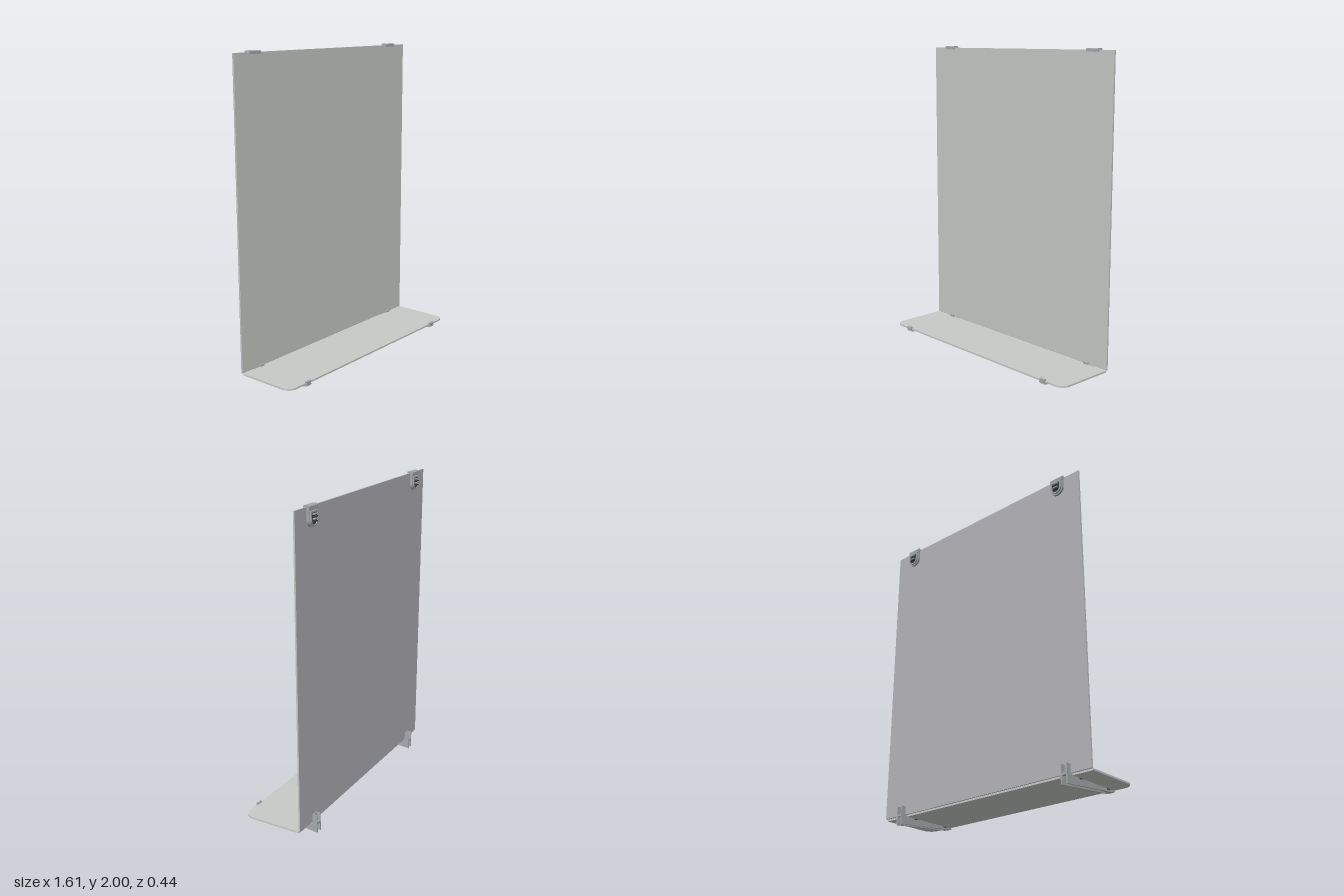
import * as THREE from 'three';

const material = (name, color) => {
  const m = new THREE.MeshStandardMaterial({ color });
  m.name = name;
  return m;
};

export function createModel() {
  const glass = material('pale glass', 0xc6c9c6);
  const backing = material('mirror backing', 0xb4b4ba);
  const metal = material('satin metal', 0xa6a9ab);
  const dark = material('dark rubber', 0x3c3e40);

  const model = new THREE.Group();
  model.name = 'mirrorWithShelf';

  const add = (parent, name, geometry, mat, x = 0, y = 0, z = 0) => {
    const mesh = new THREE.Mesh(geometry, mat);
    mesh.name = name;
    mesh.position.set(x, y, z);
    parent.add(mesh);
    return mesh;
  };
  // Box given by its centre x, width and its y and z ranges
  const box = (parent, name, mat, x, w, y0, y1, z0, z1) =>
    add(parent, name, new THREE.BoxGeometry(w, y1 - y0, z1 - z0), mat, x, (y0 + y1) / 2, (z0 + z1) / 2);
  const extrude = (shape, depth) =>
    new THREE.ExtrudeGeometry(shape, { depth, bevelEnabled: false, curveSegments: 16 });
  // Side profile in (z, y), extruded to a width centred on x = 0
  const sideProfile = (points, width) => {
    const shape = new THREE.Shape(points.map(([z, y]) => new THREE.Vector2(z, y)));
    return extrude(shape, width).translate(0, 0, -width / 2).rotateY(-Math.PI / 2);
  };
  // Upright tongue with a straight top and a semicircular bottom
  const tongue = (w, top, bottom) => {
    const r = w / 2, s = new THREE.Shape();
    s.moveTo(-r, top);
    s.lineTo(-r, bottom + r);
    s.absarc(0, bottom + r, r, Math.PI, Math.PI * 2, false);
    s.lineTo(r, top);
    s.closePath();
    return s;
  };

  // Mirror pane with a separate rear layer
  box(model, 'mirrorPane', glass, 0, 1.61, 0.066, 1.99, -0.184, -0.177);
  box(model, 'mirrorBacking', backing, 0, 1.61, 0.066, 1.99, -0.188, -0.184);

  // Shelf with rounded front corners
  const w = 0.804, r = 0.06, front = 0.213, back = -0.172;
  const plan = new THREE.Shape();
  plan.moveTo(-w, back);
  plan.lineTo(w, back);
  plan.lineTo(w, front - r);
  plan.absarc(w - r, front - r, r, 0, Math.PI / 2, false);
  plan.lineTo(-w + r, front);
  plan.absarc(-w + r, front - r, r, Math.PI / 2, Math.PI, false);
  plan.closePath();
  add(model, 'shelf', extrude(plan, 0.011).rotateX(Math.PI / 2), glass, 0, 0.067, 0);

  for (const side of [-1, 1]) {
    // Shelf bracket: tapered channel open underneath
    const bracket = new THREE.Group();
    bracket.name = side > 0 ? 'leftBracket' : 'rightBracket';
    bracket.position.x = side * 0.645;
    model.add(bracket);
    const flank = [[0.222, 0.056], [0.222, 0.05], [0.205, 0.044], [-0.222, 0.0], [-0.222, 0.054], [-0.19, 0.056]];
    for (const s of [-1, 1]) add(bracket, 'bracketFlank', sideProfile(flank, 0.008), metal, s * 0.0185);
    box(bracket, 'bracketWeb', metal, 0, 0.037, 0.048, 0.0555, -0.2, 0.213);
    // Lips that hold the shelf at the front and rear
    const lip = [[0.208, 0.048], [0.222, 0.048], [0.222, 0.075], [0.217, 0.079], [0.207, 0.076], [0.207, 0.068], [0.214, 0.067]];
    add(bracket, 'frontLip', sideProfile(lip, 0.038), metal);
    box(bracket, 'rearLip', metal, 0, 0.034, 0.055, 0.079, -0.176, -0.164);
    for (const z of [0.16, -0.1]) box(bracket, 'shelfPad', dark, 0, 0.047, 0.05, 0.0565, z - 0.013, z + 0.013);
    // Wall tab with a screw hole
    const tab = new THREE.Shape();
    tab.moveTo(-0.021, 0.066);
    tab.lineTo(0.021, 0.066);
    tab.lineTo(0.021, 0.117);
    tab.lineTo(-0.021, 0.117);
    tab.closePath();
    const hole = new THREE.Path();
    hole.absarc(0, 0.094, 0.007, 0, Math.PI * 2, true);
    tab.holes.push(hole);
    add(bracket, 'wallTab', extrude(tab, 0.006), metal, 0, 0, -0.196);
    for (const s of [-1, 1]) box(bracket, 'tabCheek', metal, s * 0.018, 0.006, 0.066, 0.117, -0.222, -0.195);
    box(bracket, 'tabFoot', metal, 0, 0.042, 0.052, 0.067, -0.222, -0.19);

    // Top clip: hook over the pane with a rounded rear housing
    const clip = new THREE.Group();
    clip.name = side > 0 ? 'leftTopClip' : 'rightTopClip';
    clip.position.x = side * 0.644;
    model.add(clip);
    const hook = [[-0.168, 1.979], [-0.168, 1.996], [-0.173, 2], [-0.2, 2], [-0.207, 1.994],
      [-0.207, 1.97], [-0.19, 1.97], [-0.19, 1.991], [-0.175, 1.991], [-0.175, 1.979]];
    add(clip, 'hook', sideProfile(hook, 0.092), metal);
    add(clip, 'housingPlate', extrude(tongue(0.09, 1.98, 1.875), 0.014), metal, 0, 0, -0.203);
    // Raised rim around a dark recess with slot bars
    const rim = tongue(0.076, 1.968, 1.882);
    rim.holes.push(new THREE.Path(tongue(0.058, 1.959, 1.891).getPoints(16)));
    add(clip, 'housingRim', extrude(rim, 0.012), metal, 0, 0, -0.214);
    add(clip, 'recess', extrude(tongue(0.058, 1.959, 1.891), 0.006), dark, 0, 0, -0.209);
    for (let i = 0; i < 4; i++) {
      const y = 1.908 + i * 0.013;
      box(clip, 'slotBar', i % 2 ? metal : dark, 0, 0.036, y, y + 0.006, -0.222, -0.208);
    }
  }
  return model;
}
